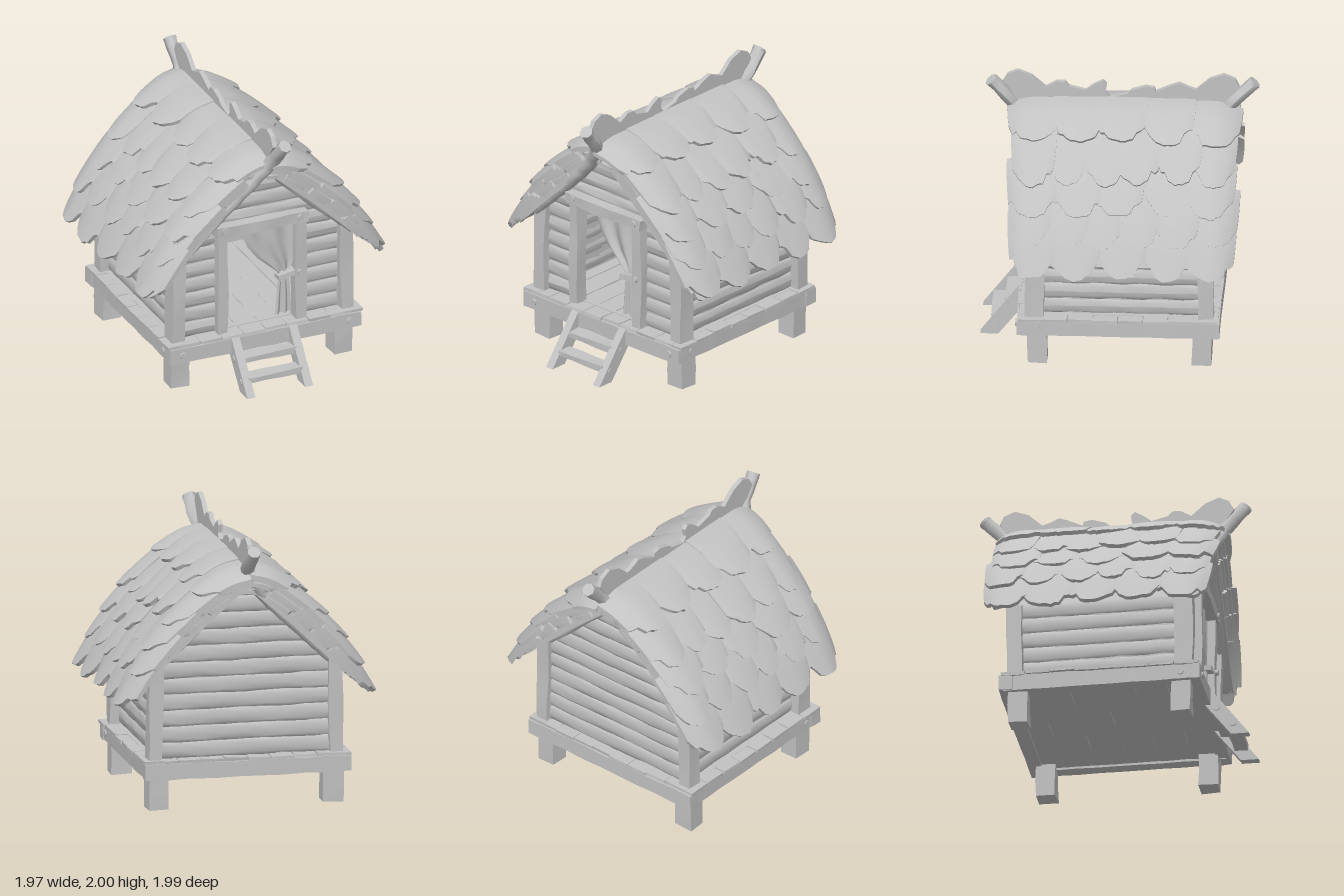
import * as THREE from 'three';
import { mergeGeometries } from 'three/addons/utils/BufferGeometryUtils.js';

const wood = new THREE.MeshStandardMaterial({ color: 0xc2c2c2, side: THREE.DoubleSide });
wood.name = 'pale grey';

let seed = 7;
const rand = () => (seed = (seed * 16807) % 2147483647) / 2147483647;
const jitter = (a) => (rand() - 0.5) * 2 * a;
const outline = (pts) => pts.map(([x, y]) => new THREE.Vector2(x, y));

export function createModel() {
  const model = new THREE.Group();
  model.name = 'stiltHut';

  const add = (name, geo, x = 0, y = 0, z = 0) => {
    const m = new THREE.Mesh(geo, wood);
    m.name = name;
    m.position.set(x, y, z);
    model.add(m);
    return m;
  };
  const slab = (pts, depth) => new THREE.ExtrudeGeometry(new THREE.Shape(outline(pts)), { depth, bevelEnabled: false });

  // Hand-cut wobble that keeps shared corners together
  const wobble = (geo, amp) => {
    const p = geo.attributes.position, k = rand() * 50;
    for (let i = 0; i < p.count; i++) {
      const x = p.getX(i), y = p.getY(i), z = p.getZ(i), h = x * 31 + y * 47 + z * 23 + k;
      p.setXYZ(i, x + amp * Math.sin(h), y + amp * Math.sin(h * 1.7 + 1), z + amp * Math.sin(h * 2.3 + 2));
    }
    geo.computeVertexNormals();
    return geo;
  };
  const seg = (d) => Math.max(1, Math.round(d / 0.16));
  const plank = (w, h, d, amp = 0.005) => wobble(new THREE.BoxGeometry(w, h, d, seg(w), seg(h), seg(d)), amp);
  const log = (len, r, alongX, flat = 0.42) => {
    const g = new THREE.CylinderGeometry(r, r, len, 10, seg(len));
    g.scale(1, 1, flat);
    g.rotateZ(Math.PI / 2);
    if (!alongX) g.rotateY(Math.PI / 2);
    return wobble(g, 0.004);
  };
  const bolt = (x, y, z, facing) => {
    const g = new THREE.CylinderGeometry(0.025, 0.027, 0.016, 8);
    if (facing === 'x') g.rotateZ(Math.PI / 2); else g.rotateX(Math.PI / 2);
    add('bolt', g, x, y, z);
  };

  // Stilts, deck frame and deck boards
  for (const x of [-0.648, 0.635]) for (const z of [0.572, -0.61]) {
    add('stilt', plank(0.145, 0.27, 0.14), x, 0.141, z);
  }
  for (let i = 0; i < 6; i++) add('floorBoard', plank(1.42, 0.1, 0.234, 0.003), -0.01, 0.304, -0.595 + i * 0.234);
  for (const z of [0.67, -0.69]) add('endBeam', plank(1.51, 0.115, 0.1, 0.004), -0.01, 0.298, z);
  for (const x of [-0.705, 0.685]) add('sideBeam', plank(0.1, 0.115, 1.4, 0.004), x, 0.298, -0.01);
  for (let i = 0; i < 8; i++) {
    add('deckBoard', plank(0.165, 0.024, 1.44 + jitter(0.03), 0.003), -0.605 + i * 0.17, 0.366 + jitter(0.003), -0.01);
    for (const x of [-0.705, 0.685]) {
      add('edgeBoard', plank(0.14, 0.024, 0.17, 0.003), x + jitter(0.006), 0.366 + jitter(0.003), 0.62 - i * 0.18);
    }
  }
  for (const x of [-0.66, 0.65]) bolt(x, 0.3, 0.722, 'z');
  for (const x of [-0.757, 0.737]) bolt(x, 0.298, 0.575, 'x');

  // Corner posts
  for (const side of [1, -1]) {
    for (const [z, depth] of [[0.59, 0.135], [-0.637, 0.11]]) {
      add('cornerPost', plank(0.1, 0.8, depth), side * 0.66 - 0.005, 0.77, z).rotation.z = side * 0.015;
    }
  }

  // Wall cores: gabled panels front and back, flat panels at the sides
  const gable = (withDoor) => {
    const s = new THREE.Shape(outline([[-0.62, 0.38], [0.62, 0.38], [0.62, 1.1], [0, 1.68], [-0.62, 1.1]]));
    if (withDoor) s.holes.push(new THREE.Path(outline([[-0.3, 0.385], [-0.3, 1.18], [0.26, 1.18], [0.26, 0.385]])));
    return new THREE.ExtrudeGeometry(s, { depth: 0.03, bevelEnabled: false });
  };
  add('frontWallCore', gable(true), 0, 0, 0.565);
  add('backWallCore', gable(false), 0, 0, -0.645);
  for (const x of [-0.63, 0.62]) add('sideWallCore', new THREE.BoxGeometry(0.03, 0.74, 1.2), x, 0.75, -0.02);

  // Log cladding
  const step = 0.117;
  for (let i = 0; i < 11; i++) {
    const y = 0.437 + i * step;
    const half = y < 1.1 ? 0.63 : Math.max(0.06, 0.66 - (y - 1.06) * 1.06);
    const r = step * 0.53;
    add('backLog', log(half * 2, r, true, 0.33), 0, y, -0.64);
    if (y > 1.18) add('gableLog', log(half * 2, r, true), 0, y, 0.585);
    else {
      const l = half - 0.3;
      add('frontLog', log(l, r, true), -0.3 - l / 2, y, 0.585);
      add('frontLog', log(l, r, true), 0.27 + l / 2, y, 0.585);
    }
    if (i < 6) for (const x of [-0.635, 0.625]) add('sideLog', log(1.2, r, false), x, y, -0.02);
  }

  // Door frame
  add('doorJamb', plank(0.075, 0.8, 0.1), -0.325, 0.78, 0.62);
  add('doorJamb', plank(0.085, 0.8, 0.1), 0.29, 0.78, 0.62);
  add('doorLintel', plank(0.72, 0.08, 0.1), -0.02, 1.2, 0.64).rotation.z = -0.015;
  bolt(-0.315, 1.215, 0.692, 'z');
  bolt(0.275, 1.2, 0.692, 'z');

  // Curtain gathered to one side: [height, left edge, right edge]
  const folds = [[1.17, -0.16, 0.25], [1.08, -0.14, 0.25], [1.0, -0.105, 0.25], [0.9, -0.03, 0.25],
    [0.82, 0.06, 0.245], [0.76, 0.125, 0.225], [0.71, 0.135, 0.215], [0.56, 0.12, 0.23], [0.42, 0.11, 0.235]];
  const cloth = new THREE.PlaneGeometry(1, 1, 24, folds.length - 1);
  const cp = cloth.attributes.position;
  for (let i = 0; i < cp.count; i++) {
    const [y, a, b] = folds[Math.floor(i / 25)], u = (i % 25) / 24;
    cp.setXYZ(i, a + (b - a) * u, y, 0.61 + 0.014 * Math.sin(u * 13));
  }
  cloth.computeVertexNormals();
  add('curtain', cloth);
  add('curtainTie', plank(0.2, 0.035, 0.075, 0.003), 0.215, 0.745, 0.625).rotation.z = 0.2;
  add('tieKnob', new THREE.CylinderGeometry(0.022, 0.022, 0.08, 8).rotateX(Math.PI / 2), 0.28, 0.755, 0.65);

  // Ladder
  const rail = [[-1, 0], [-0.87, 0], [-0.61, 0.33], [-0.63, 0.36], [-0.725, 0.36]];
  for (const x of [-0.285, 0.17]) {
    add('ladderRail', slab(rail, 0.063).rotateY(Math.PI / 2), x, 0, 0);
    for (const [z, y] of [[0.885, 0.085], [0.765, 0.215]]) bolt(x < 0 ? x : x + 0.063, y, z, 'x');
  }
  for (const [y, z] of [[0.1, 0.875], [0.215, 0.775]]) add('ladderStep', plank(0.42, 0.045, 0.1, 0.004), -0.025, y, z);

  // Roof bed under the thatch
  const slope = new THREE.CatmullRomCurve3([[0, 1.775], [0.14, 1.73], [0.3, 1.615], [0.47, 1.455],
    [0.63, 1.265], [0.78, 1.03], [0.915, 0.745]].map(([x, y]) => new THREE.Vector3(x, y, 0)));
  const over = [0, 0.2, 0.4, 0.6, 0.8, 0.9].map((s) => slope.getPointAt(s)).map((p) => [p.x, p.y - 0.02]);
  const under = [[0.83, 0.87], [0.73, 0.95], [0.6, 1.08], [0.35, 1.32], [0, 1.63]];
  for (const side of [1, -1]) {
    add('roofBed', slab([...over, ...under].map(([x, y]) => [x * side, y]), 1.46), 0, 0, -0.75);
  }

  // One thatch leaf: a thin box bent over the slope, with a rounded hem split at its sides
  const leaf = (side, s0, s1, zc, width, sink) => {
    const nu = 12;
    const g = new THREE.BoxGeometry(2, 1, 1, nu, 1, 6);
    const hem = Array.from({ length: nu + 1 }, (_, i) => rand() * (Math.abs(i - 6) > 3 ? 0.14 : 0.035));
    const p = g.attributes.position;
    for (let i = 0; i < p.count; i++) {
      const u = p.getX(i), t = p.getY(i), v = p.getZ(i) + 0.5;
      const edge = 1 - 0.24 * u * u - hem[Math.round((u + 1) * nu / 2)];
      const s = Math.min(1, Math.max(0, s0 + (s1 - s0) * v * edge));
      const z = zc - side * u * width * 0.5 * (1 - 0.1 * v * v);
      const c = slope.getPointAt(s), d = slope.getTangentAt(s);
      const droop = Math.max(0, Math.abs(z + 0.025) - 0.62) ** 2 * 1.3;
      const lift = 0.01 + 0.05 * v - 0.035 * u * u * v + t * 0.03 - droop - sink;
      p.setXYZ(i, side * Math.max(0, c.x - d.y * lift), c.y + d.x * lift, z);
    }
    g.computeVertexNormals();
    return g;
  };

  // Thatch rows, with extra layers tucked under both gable ends
  const rows = [[0, 0.31], [0.18, 0.53], [0.36, 0.68], [0.5, 0.83], [0.64, 1]];
  for (const side of [1, -1]) {
    rows.forEach(([s0, s1], r) => {
      const leaves = [], n = 5 + (r % 2);
      for (let i = 0; i < n; i++) {
        const zc = -0.03 + ((i + 0.5) / n - 0.5) * 1.58 + jitter(0.025);
        leaves.push(leaf(side, s0, s1 - rand() * 0.025, zc, 1.58 / n + 0.07, jitter(0.012)));
      }
      for (const end of [1, -1]) for (let k = 1; k < 5; k++) {
        const sink = 0.042 * k * (1 - s0 * 0.75);
        const zc = -0.025 + end * (0.7 - 0.012 * k + jitter(0.015));
        leaves.push(leaf(side, s0, s1 - 0.035 * k + jitter(0.02), zc, 0.18, sink));
      }
      add(side > 0 ? 'leftThatchRow' : 'rightThatchRow', mergeGeometries(leaves));
    });
  }

  // Ridge crest of upright leaves
  const crest = [[0.74, 1.72], [0.78, 1.8], [0.85, 1.9], [0.81, 1.97], [0.74, 2], [0.64, 1.96], [0.54, 1.87],
    [0.46, 1.915], [0.4, 1.915], [0.37, 1.88], [0.25, 1.85], [0.2, 1.89], [0.13, 1.93], [0.1, 1.9], [0.11, 1.84],
    [0.08, 1.8], [-0.05, 1.83], [-0.08, 1.86], [-0.18, 1.89], [-0.24, 1.88], [-0.25, 1.85], [-0.36, 1.9],
    [-0.42, 1.92], [-0.48, 1.89], [-0.54, 1.87], [-0.64, 1.96], [-0.74, 1.995], [-0.82, 1.96], [-0.85, 1.9],
    [-0.78, 1.8], [-0.75, 1.72]];
  add('ridgeCrest', slab(crest.map(([z, y]) => [-z, y]), 0.034).rotateY(Math.PI / 2), -0.017, 0, 0);

  // Gable poles: one per end sweeps up past the ridge, its partner stops below it
  const pole = (name, pts, r) => {
    const path = new THREE.CatmullRomCurve3(pts.map((p) => new THREE.Vector3(...p)));
    add(name, wobble(new THREE.TubeGeometry(path, 20, r, 7), 0.004));
    const cap = add('poleEnd', new THREE.CylinderGeometry(r, r, 0.02, 7), ...pts[0]);
    cap.quaternion.setFromUnitVectors(new THREE.Vector3(0, -1, 0), path.getTangentAt(0));
  };
  for (const [end, tip, reach] of [[1, 0.04, 0.925], [-1, 0, 0.955]]) {
    pole('ridgePole', [[tip, 1.93, end * reach], [0.005, 1.75, end * 0.78], [-0.11, 1.58, end * 0.71],
      [-0.38, 1.31, end * 0.66], [-0.7, 1.01, end * 0.65]], 0.05);
    pole('gablePole', [[0.03, 1.64, end * 0.66], [0.35, 1.33, end * 0.66], [0.7, 1.01, end * 0.65]], 0.04);
  }
  return model;
}
